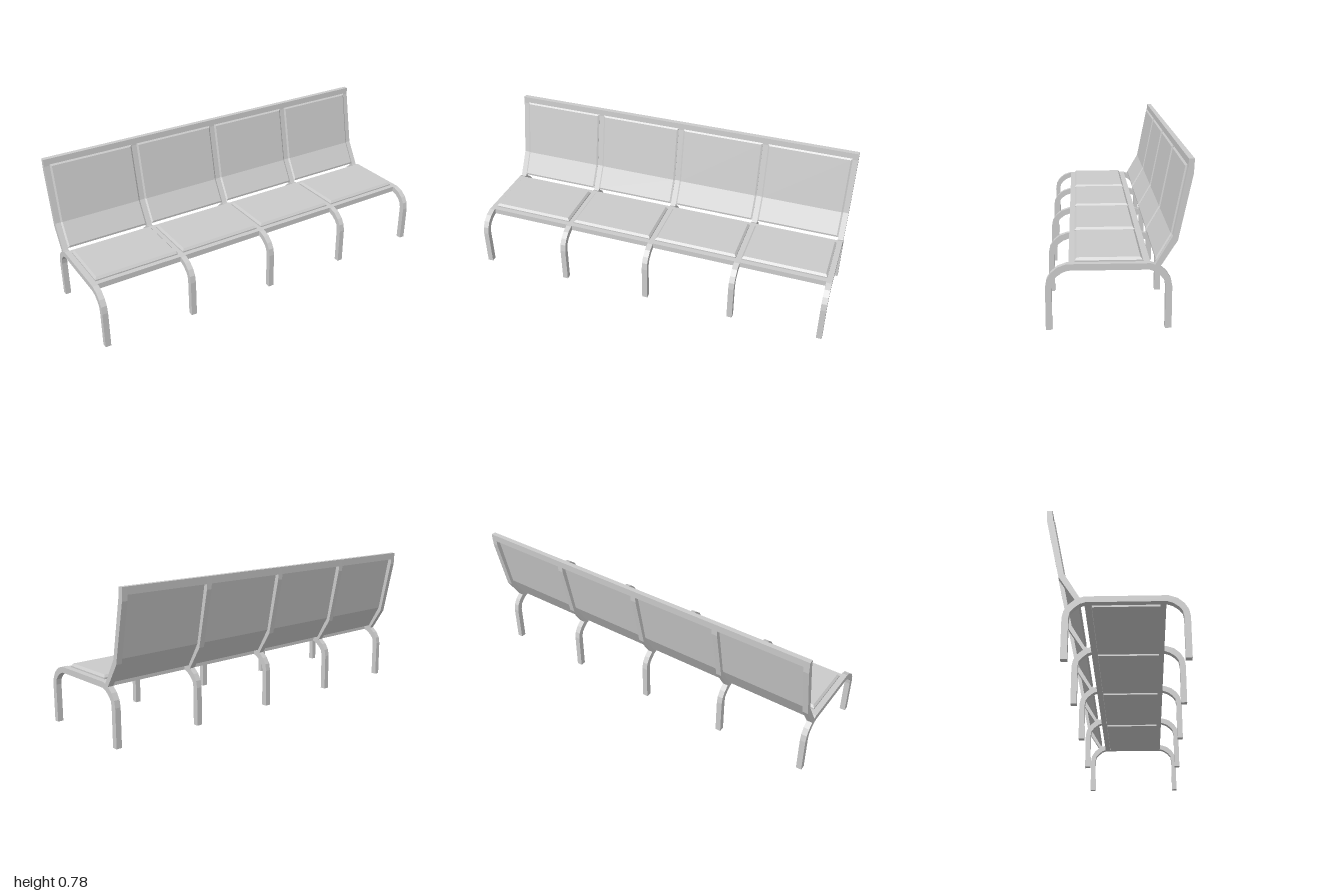
import * as THREE from 'three';

const material = new THREE.MeshStandardMaterial({ color: 0xcccccc, flatShading: true });

// Extrude a side outline given as [z, y] points, centred across x
function sideExtrude(points, width) {
  const shape = new THREE.Shape(points.map(([z, y]) => new THREE.Vector2(z, y)));
  const geo = new THREE.ExtrudeGeometry(shape, { depth: width, bevelEnabled: false });
  return geo.translate(0, 0, -width / 2).rotateY(-Math.PI / 2);
}

// Slab following a three-point [z, y] path; its outer face is inset to make a chamfer
function chamferedSlab(path, width, depths, inset) {
  const geo = new THREE.BoxGeometry(2, 2, 2, 1, 2, 2);
  const pts = path.map(([z, y]) => new THREE.Vector2(z, y));
  const pos = geo.attributes.position;
  for (let i = 0; i < pos.count; i++) {
    const row = Math.round(pos.getY(i)) + 1;
    const layer = Math.round(pos.getZ(i)) + 1;
    const tangent = pts[Math.min(row + 1, 2)].clone().sub(pts[Math.max(row - 1, 0)]).normalize();
    const cut = layer === 2 ? inset : 0;
    const p = pts[row].clone()
      .addScaledVector(tangent, cut * (1 - row))
      .add(new THREE.Vector2(tangent.y, -tangent.x).multiplyScalar(depths[layer]));
    pos.setXYZ(i, pos.getX(i) * (width / 2 - cut), p.y, p.x);
  }
  geo.computeVertexNormals();
  return geo;
}

export function createModel() {
  const group = new THREE.Group();
  const add = (name, geo, x = 0, y = 0, z = 0) => {
    const mesh = new THREE.Mesh(geo, material);
    mesh.name = name;
    mesh.position.set(x, y, z);
    group.add(mesh);
  };

  const frameWidth = 0.03;
  const spacing = 0.4925;

  // Bent leg frames and the uprights rising from them
  const legFrame = sideExtrude([
    [0.328, 0], [0.328, 0.2], [0.321, 0.238], [0.302, 0.269], [0.272, 0.295], [0.232, 0.309],
    [-0.144, 0.309], [-0.184, 0.294], [-0.214, 0.268], [-0.234, 0.236], [-0.241, 0.2], [-0.241, 0],
    [-0.211, 0], [-0.211, 0.2], [-0.206, 0.229], [-0.188, 0.25], [-0.164, 0.27], [-0.138, 0.279],
    [0.226, 0.279], [0.253, 0.269], [0.278, 0.25], [0.294, 0.229], [0.299, 0.2], [0.299, 0],
  ], frameWidth);
  const upright = sideExtrude([
    [-0.15, 0.29], [-0.164, 0.304], [-0.24, 0.434], [-0.301, 0.745], [-0.302, 0.78],
    [-0.328, 0.78], [-0.325, 0.714], [-0.262, 0.413], [-0.184, 0.29],
  ], frameWidth);
  for (let i = -2; i <= 2; i++) {
    add('legFrame', legFrame, i * spacing);
    add('backUpright', upright, i * spacing);
  }

  // Long rails across the whole bench
  add('topRail', sideExtrude([
    [-0.3, 0.742], [-0.302, 0.78], [-0.328, 0.78], [-0.326, 0.742],
  ], 2));
  const seatRail = new THREE.BoxGeometry(1.98, 0.03, 0.03);
  add('frontSeatRail', seatRail, 0, 0.294, 0.208);
  add('rearSeatRail', seatRail, 0, 0.294, -0.128);

  // Four seat and back panels between the frames
  const panelWidth = spacing - frameWidth;
  const seatPanel = chamferedSlab(
    [[0.196, 0.31], [0.043, 0.31], [-0.11, 0.31]], panelWidth, [-0.04, 0.006, 0.018], 0.01);
  const backPanel = chamferedSlab(
    [[-0.169, 0.311], [-0.24, 0.434], [-0.301, 0.748]], panelWidth, [-0.007, 0.001, 0.007], 0.009);
  for (let i = -1.5; i <= 1.5; i++) {
    add('seatPanel', seatPanel, i * spacing);
    add('backPanel', backPanel, i * spacing);
  }

  return group;
}
